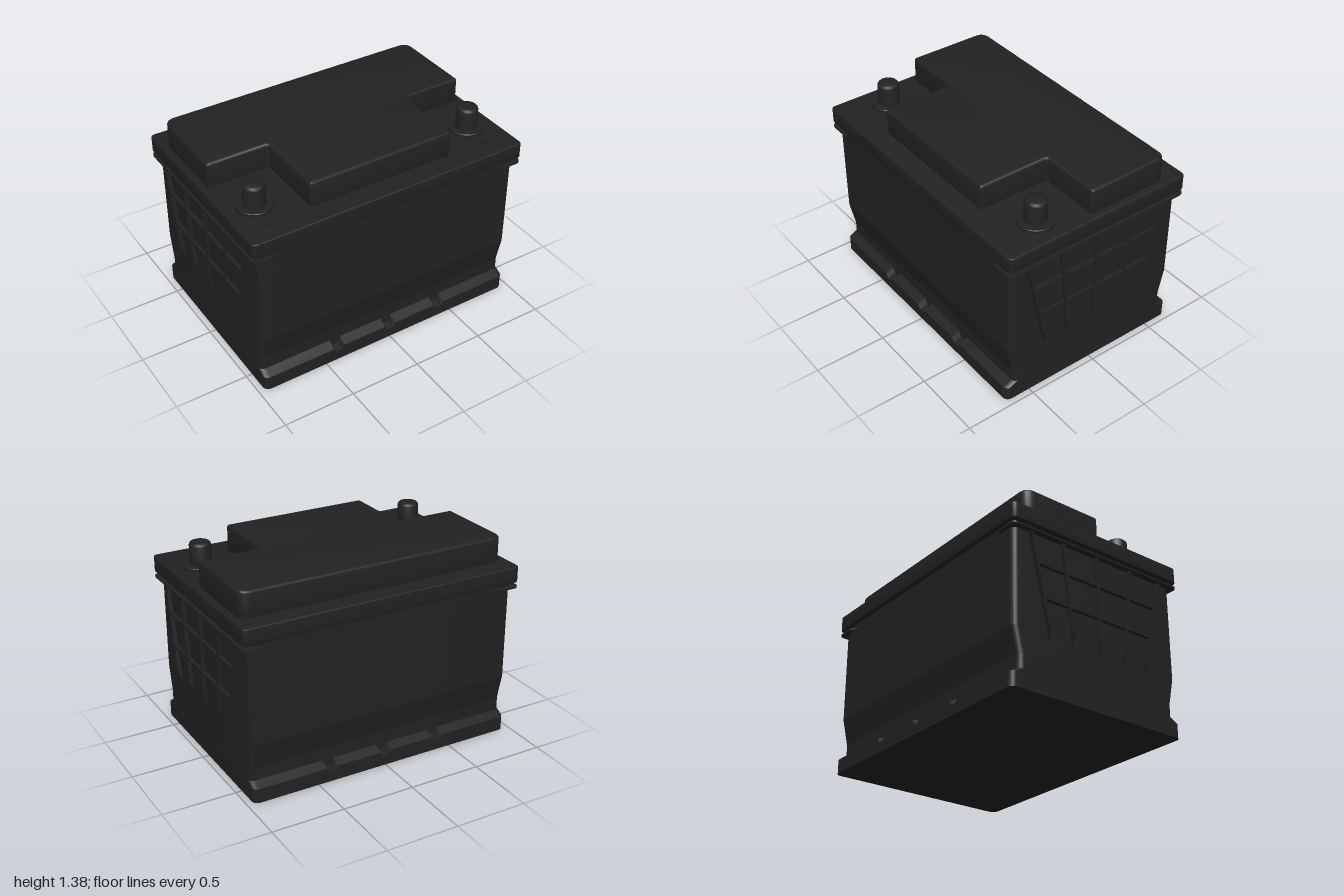
import * as THREE from 'three';
import { toCreasedNormals } from 'three/addons/utils/BufferGeometryUtils.js';

// Outline through [x, z, cornerRadius] points, as a shape in (x, -z)
function outline(points) {
  const shape = new THREE.Shape();
  const n = points.length;
  points.forEach(([x, z, r], i) => {
    const p = new THREE.Vector2(x, -z);
    const toward = (q) => new THREE.Vector2(q[0], -q[1]).sub(p).setLength(r).add(p);
    const a = toward(points[(i + n - 1) % n]);
    const b = toward(points[(i + 1) % n]);
    if (i === 0) shape.moveTo(a.x, a.y);
    else shape.lineTo(a.x, a.y);
    if (r > 0) shape.quadraticCurveTo(p.x, p.y, b.x, b.y);
  });
  shape.closePath();
  return shape;
}

// Upright slab from y0 to y1 with softened top and bottom edges
function slab(points, y0, y1, bevel) {
  const geo = new THREE.ExtrudeGeometry(outline(points), {
    depth: y1 - y0 - 2 * bevel, curveSegments: 6, bevelEnabled: bevel > 0,
    bevelSize: bevel, bevelThickness: bevel, bevelOffset: -bevel, bevelSegments: 3,
  });
  geo.rotateX(-Math.PI / 2).translate(0, y0 + bevel, 0);
  return toCreasedNormals(geo, 0.6);
}

// Case lofted from rounded rectangles, with notches dipping into the foot ledge
function caseGeometry() {
  const hx = 0.957, r = 0.04, steps = 8;
  const levels = [[0, 0.68, 0], [0.1, 0.68, 0.03], [0.13, 0.62, 0.045],
    [0.22, 0.62, 0], [0.4, 0.66, 0], [1.1, 0.66, 0]];
  const stations = [];
  for (const c of [0.4, 0, -0.4])
    for (const [d, dip] of [[0.04, 0], [0.02, 1], [-0.02, 1], [-0.04, 0]]) stations.push([c + d, dip]);
  const pos = [], index = [];
  let n = 0;
  for (const [y, hz, drop] of levels) {
    const start = pos.length / 3;
    [[1, 1], [-1, 1], [-1, -1], [1, -1]].forEach(([sx, sz], k) => {
      for (let s = 0; s <= steps; s++) {
        const a = (k + s / steps) * Math.PI / 2;
        pos.push(sx * (hx - r) + r * Math.cos(a), y, sz * (hz - r) + r * Math.sin(a));
      }
      if (k % 2 === 0)
        for (const [x, dip] of stations) pos.push(sx * x, y - drop * dip, sz * hz);
    });
    n = pos.length / 3 - start;
  }
  for (let i = 0; i < levels.length - 1; i++)
    for (let j = 0; j < n; j++) {
      const a = i * n + j, b = i * n + (j + 1) % n;
      index.push(a, a + n, b, b, a + n, b + n);
    }
  const centre = pos.length / 3;
  pos.push(0, 0, 0);
  for (let j = 0; j < n; j++) index.push(centre, j, (j + 1) % n);
  const geo = new THREE.BufferGeometry();
  geo.setAttribute('position', new THREE.Float32BufferAttribute(pos, 3));
  geo.setIndex(index);
  return toCreasedNormals(geo, 0.205);
}

// Upright rib that fades into the case at its foot and leans by a shear
function ribGeometry(zTop, zBottom) {
  const shape = new THREE.Shape([[0.94, 0.36], [0.957, 0.37], [0.983, 0.46], [0.983, 1.06], [0.94, 1.06]]
    .map(([x, y]) => new THREE.Vector2(x, y)));
  const geo = new THREE.ExtrudeGeometry(shape, { depth: 0.018, bevelEnabled: false });
  geo.translate(0, 0, -0.009);
  const p = geo.attributes.position;
  for (let i = 0; i < p.count; i++) {
    const t = (p.getY(i) - 0.4) / (1.055 - 0.4);
    p.setZ(i, p.getZ(i) + zBottom + (zTop - zBottom) * t);
  }
  geo.computeVertexNormals();
  return geo;
}

export function createModel() {
  const plastic = new THREE.MeshStandardMaterial({ color: 0x222222 });
  plastic.name = 'black plastic';
  const model = new THREE.Group();
  model.name = 'battery';
  const add = (parent, name, geo, x = 0, y = 0, z = 0) => {
    const mesh = new THREE.Mesh(geo, plastic);
    mesh.name = name;
    mesh.position.set(x, y, z);
    parent.add(mesh);
    return mesh;
  };

  add(model, 'case', caseGeometry());

  // Lid and the T-shaped raised cover
  add(model, 'lid', slab([[-1, -0.69, 0.035], [1, -0.69, 0.035], [1, 0.69, 0.035], [-1, 0.69, 0.035]]
    .reverse(), 1.093, 1.203, 0.006));
  add(model, 'raisedCover', slab([
    [-0.52, 0.545, 0.02], [0.52, 0.545, 0.02], [0.52, 0.04, 0.02], [0.95, 0.04, 0.02],
    [0.95, -0.555, 0.075], [-0.95, -0.555, 0.075], [-0.95, 0.04, 0.02], [-0.52, 0.04, 0.02],
  ], 1.19, 1.378, 0.016));

  // Ends: rib grid and the thin flange that wraps both corners
  for (const side of [1, -1]) {
    const end = new THREE.Group();
    end.name = side > 0 ? 'leftEnd' : 'rightEnd';
    end.rotation.y = side > 0 ? 0 : Math.PI;
    model.add(end);
    for (const [top, bottom] of [[-0.535, -0.395], [-0.28, -0.21], [0, 0], [0.28, 0.21], [0.535, 0.395]])
      add(end, 'uprightRib', ribGeometry(top, bottom));
    for (const [y, half] of [[0.852, 0.49], [0.628, 0.442]])
      add(end, 'crossRib', new THREE.BoxGeometry(0.04, 0.016, half * 2), 0.963, y, 0);
    add(end, 'flange', slab([
      [0.81, 0.655, 0], [0.86, 0.69, 0], [1, 0.69, 0.035], [1, -0.69, 0.035], [0.86, -0.69, 0], [0.81, -0.655, 0],
    ], 1.053, 1.066, 0));
  }

  // Terminals: flat collar and round-topped post
  const profile = [[0, 1.19], [0.12, 1.19], [0.12, 1.222], [0.117, 1.226], [0.072, 1.226],
    [0.072, 1.355], [0.069, 1.365], [0.063, 1.372], [0.053, 1.376], [0, 1.376]]
    .map(([x, y]) => new THREE.Vector2(x, y));
  const terminal = toCreasedNormals(new THREE.LatheGeometry(profile, 40), 0.6);
  for (const side of [1, -1]) {
    add(model, side > 0 ? 'leftTerminal' : 'rightTerminal', terminal, side * 0.8, 0, 0.348);
    add(model, 'polarityBar', new THREE.BoxGeometry(0.08, 0.009, 0.02), side * 0.8, 1.2065, 0.55);
  }
  add(model, 'polarityCrossBar', new THREE.BoxGeometry(0.02, 0.009, 0.08), 0.8, 1.2065, 0.55);

  return model;
}
